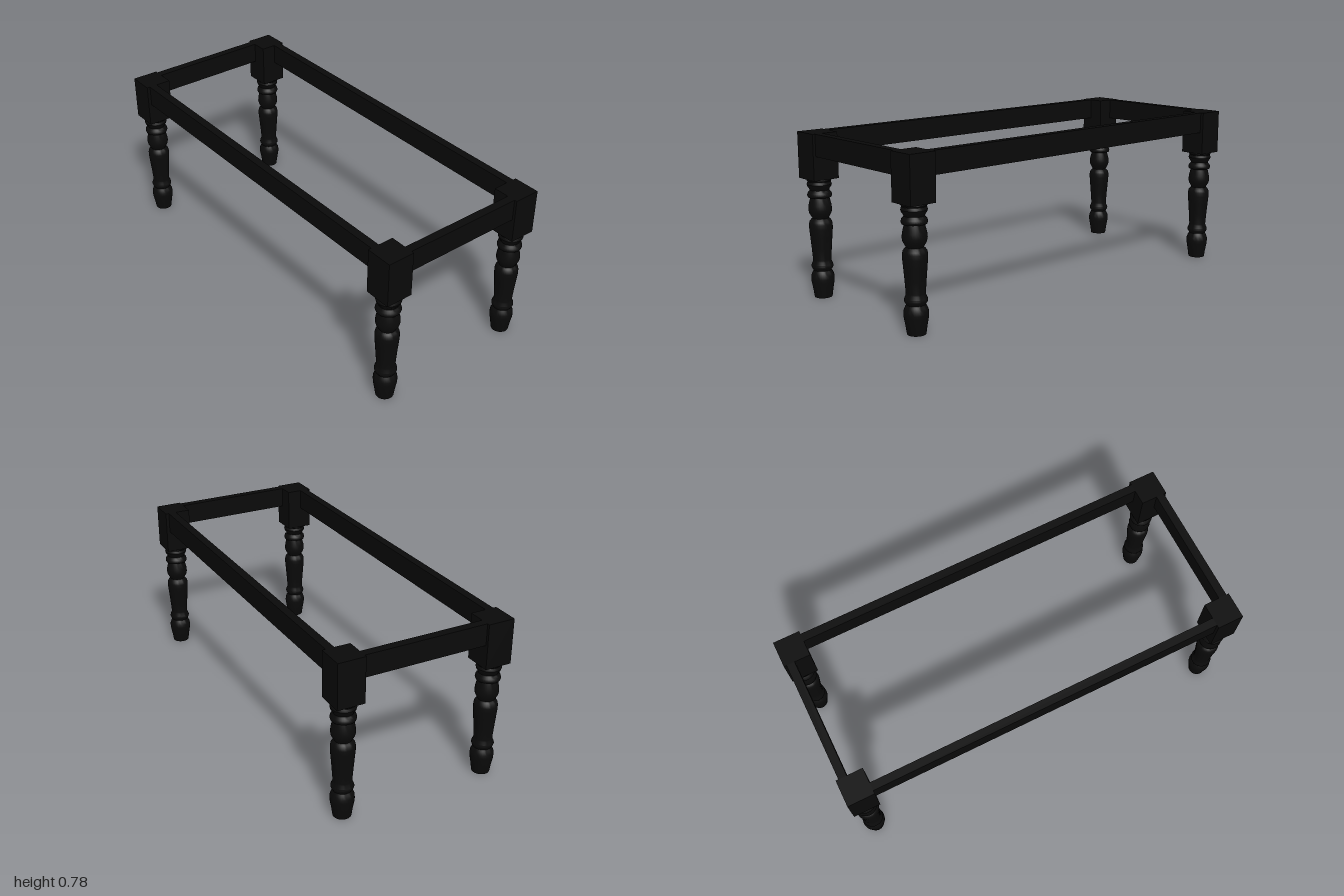
import * as THREE from 'three';
import { toCreasedNormals } from 'three/addons/utils/BufferGeometryUtils.js';

export function createModel() {
  const model = new THREE.Group();
  model.name = 'tableFrame';
  const material = new THREE.MeshStandardMaterial({ color: 0x0a0a0a });
  const legX = 0.935, legZ = 0.362, top = 0.78;
  const blockSize = 0.13, blockBottom = 0.565;
  const railHeight = 0.103, railThickness = 0.04;

  const add = (parent, name, geometry, x, y, z) => {
    const mesh = new THREE.Mesh(geometry, material);
    mesh.name = name;
    mesh.position.set(x, y, z);
    parent.add(mesh);
  };

  // Turned leg profile: radius, height
  const profile = [
    [0, 0], [0.041, 0], [0.046, 0.035], [0.053, 0.075], [0.054, 0.09], [0.053, 0.105],
    [0.047, 0.12], [0.041, 0.13], [0.049, 0.143], [0.051, 0.15], [0.049, 0.158],
    [0.043, 0.172], [0.042, 0.18], [0.046, 0.235], [0.051, 0.295], [0.054, 0.33],
    [0.054, 0.35], [0.051, 0.363], [0.044, 0.372], [0.037, 0.378], [0.043, 0.388],
    [0.051, 0.403], [0.054, 0.418], [0.052, 0.44], [0.046, 0.465], [0.043, 0.475],
    [0.054, 0.478], [0.057, 0.487], [0.054, 0.498], [0.047, 0.505], [0.044, 0.511],
    [0.048, 0.52], [0.054, 0.528], [0.057, 0.538], [0.054, 0.547], [0.052, 0.551],
    [0.057, 0.558], [0.055, blockBottom], [0, blockBottom],
  ].map(([r, y]) => new THREE.Vector2(r, y));
  const turning = toCreasedNormals(new THREE.LatheGeometry(profile, 32), 0.6);
  const block = new THREE.BoxGeometry(blockSize, top - blockBottom, blockSize);

  // Four legs with square corner blocks
  for (const sx of [-1, 1]) {
    for (const sz of [-1, 1]) {
      const leg = new THREE.Group();
      leg.name = (sz > 0 ? 'front' : 'back') + (sx > 0 ? 'Left' : 'Right') + 'Leg';
      leg.position.set(sx * legX, 0, sz * legZ);
      add(leg, 'turnedLeg', turning, 0, 0, 0);
      add(leg, 'cornerBlock', block, 0, (top + blockBottom) / 2, 0);
      model.add(leg);
    }
  }

  // Apron rails between the blocks
  const railY = top - railHeight / 2;
  const longRail = new THREE.BoxGeometry(2 * legX - blockSize, railHeight, railThickness);
  const shortRail = new THREE.BoxGeometry(railThickness, railHeight, 2 * legZ - blockSize);
  for (const s of [-1, 1]) {
    add(model, s > 0 ? 'frontRail' : 'backRail', longRail, 0, railY, s * 0.391);
    add(model, s > 0 ? 'leftRail' : 'rightRail', shortRail, s * 0.967, railY, 0);
  }
  return model;
}
